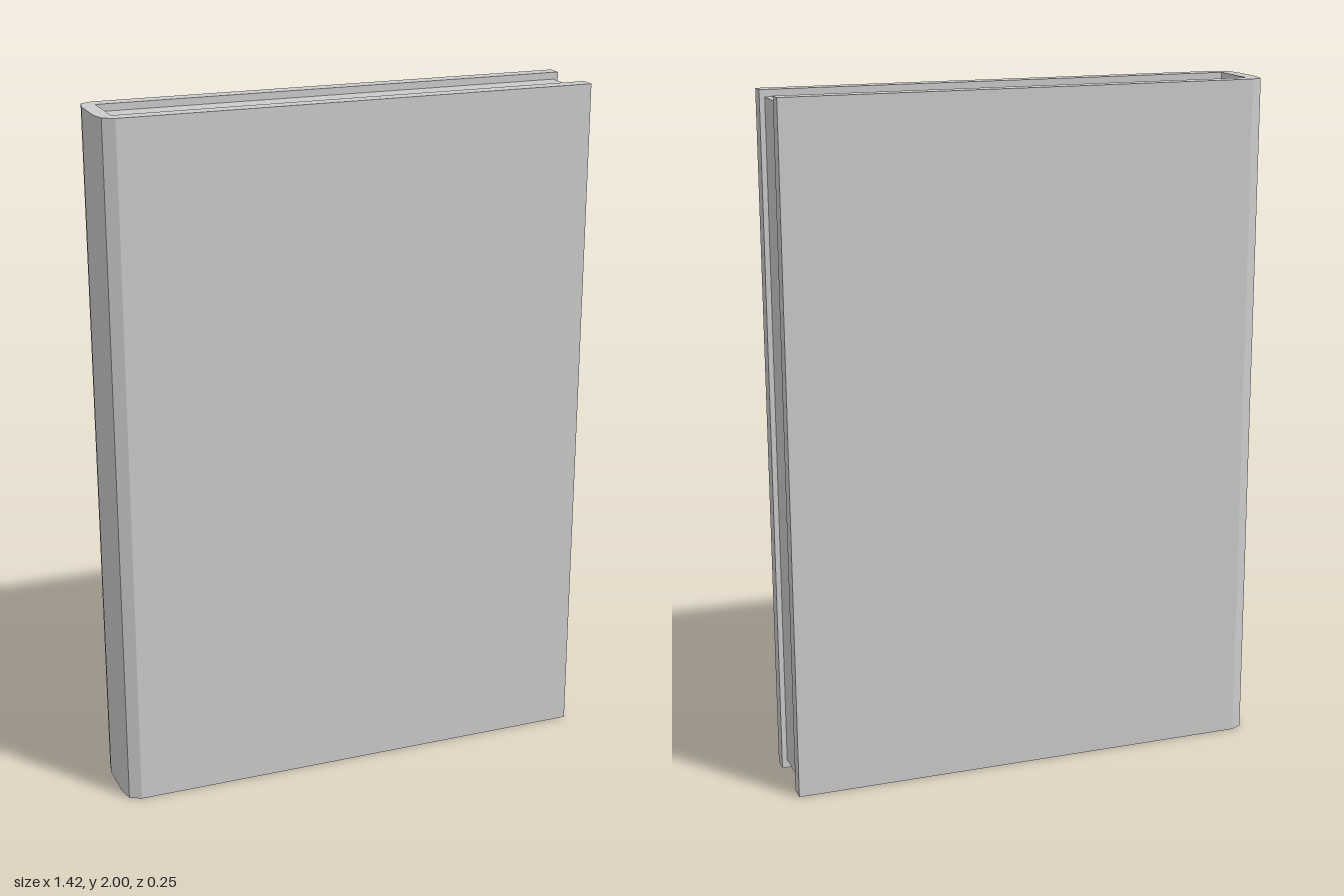
import * as THREE from 'three';

const HEIGHT = 2;
const RIGHT = 0.71;      // fore edge of the cover boards
const INNER_X = -0.67;   // inside face of the spine
const OUTER_Z = 0.125;   // outside of the boards
const INNER_Z = 0.08;    // inside of the boards

export function createModel() {
  const book = new THREE.Group();
  book.name = 'book';
  const material = new THREE.MeshStandardMaterial({ color: 0xcccccc });

  // Cover: one U-shaped section (front board, bevelled spine, back board) run up the height
  const half = [[RIGHT, OUTER_Z], [-0.67, OUTER_Z], [-0.703, 0.107], [-0.713, 0.06]];
  const mirrored = half.map(([x, z]) => [x, -z]).reverse();
  const inside = [[RIGHT, -INNER_Z], [INNER_X, -INNER_Z], [INNER_X, INNER_Z], [RIGHT, INNER_Z]];
  const section = new THREE.Shape(
    [...half, ...mirrored, ...inside].map(([x, z]) => new THREE.Vector2(x, z))
  );
  const coverGeometry = new THREE.ExtrudeGeometry(section, { depth: HEIGHT, bevelEnabled: false });
  coverGeometry.rotateX(-Math.PI / 2);
  const cover = new THREE.Mesh(coverGeometry, material);
  cover.name = 'cover';
  book.add(cover);

  // Page block: set back from the cover at the top, bottom and fore edge
  const pageRight = 0.695, pageBottom = 0.025, pageTop = 1.98;
  const pages = new THREE.Mesh(
    new THREE.BoxGeometry(pageRight - INNER_X, pageTop - pageBottom, INNER_Z * 2),
    material
  );
  pages.position.set((pageRight + INNER_X) / 2, (pageTop + pageBottom) / 2, 0);
  pages.name = 'pages';
  book.add(pages);

  return book;
}
